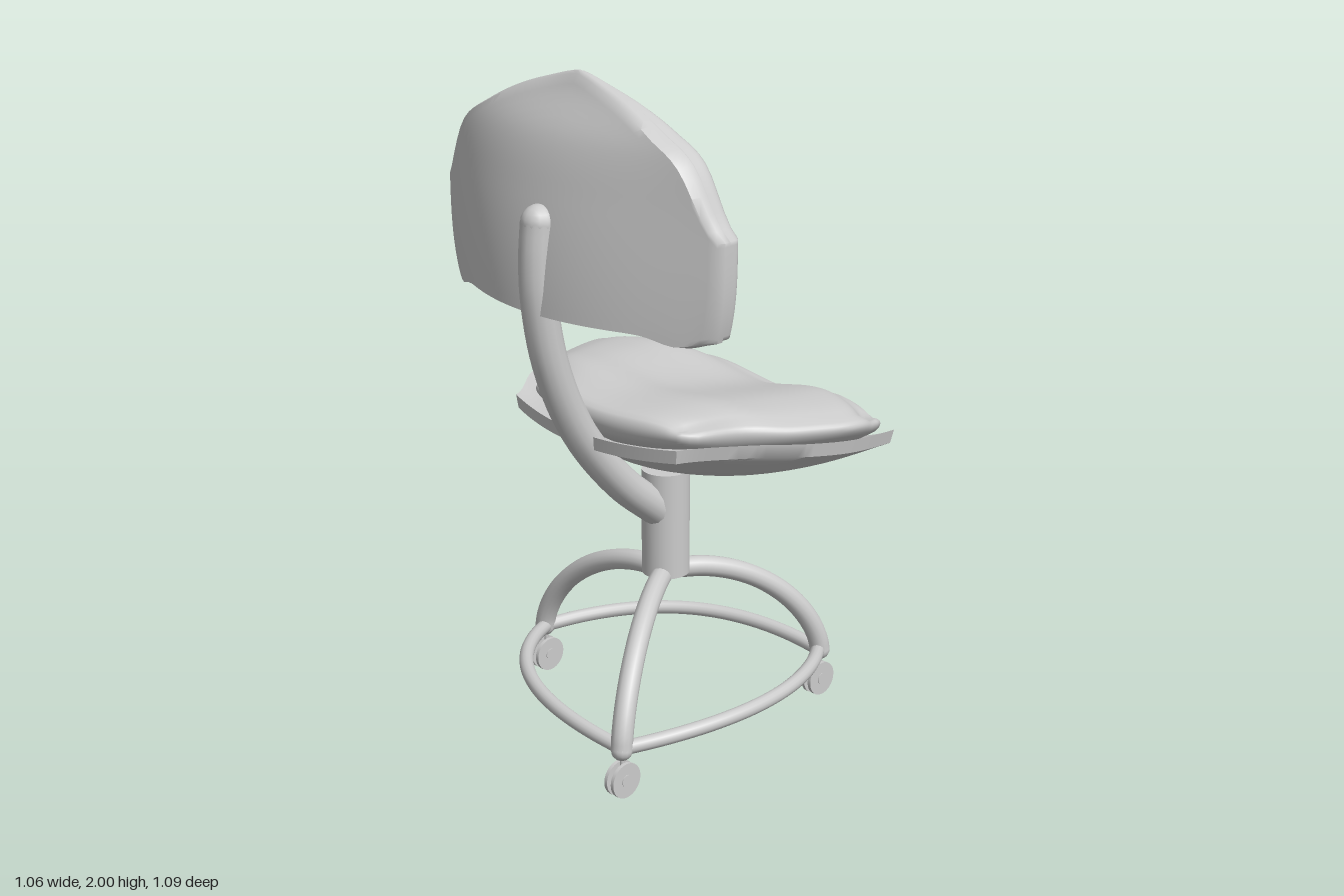
import * as THREE from 'three';
import { mergeVertices, toCreasedNormals } from 'three/addons/utils/BufferGeometryUtils.js';

const material = new THREE.MeshStandardMaterial({ color: 0xcccccc });
const V = (x, y, z) => new THREE.Vector3(x, y, z);
const { lerp, clamp, smoothstep } = THREE.MathUtils;

// Smooth value through evenly spaced samples, for t from 0 to 1
function profile(...values) {
  const curve = new THREE.SplineCurve(values.map((y, i) => new THREE.Vector2(i, y)));
  return t => curve.getPoint(clamp(t, 0, 1)).y;
}

function add(parent, name, geometry) {
  const mesh = new THREE.Mesh(geometry, material);
  mesh.name = name;
  parent.add(mesh);
  return mesh;
}

// Subdivided box whose vertices (each coordinate -1..1) are moved by a rule
function mould(segments, rule, creased) {
  let geo = new THREE.BoxGeometry(2, 2, 2, ...segments);
  geo.deleteAttribute('uv');
  geo.deleteAttribute('normal');
  const p = geo.attributes.position;
  for (let i = 0; i < p.count; i++) p.setXYZ(i, ...rule(p.getX(i), p.getY(i), p.getZ(i)));
  geo = mergeVertices(geo, 1e-5);
  geo.computeVertexNormals();
  return creased ? toCreasedNormals(geo, 0.8) : geo;
}

// Round bar along points, with rounded ends
function bar(parent, name, points, radius) {
  const group = new THREE.Group();
  group.name = name;
  add(group, name + 'Tube', new THREE.TubeGeometry(new THREE.CatmullRomCurve3(points), 32, radius, 14));
  for (const end of [points[0], points.at(-1)]) {
    add(group, name + 'End', new THREE.SphereGeometry(radius, 14, 10)).position.copy(end);
  }
  parent.add(group);
}

// How far the edge draws in at the top and bottom of a padded part
const roundOff = c => 1 - Math.sqrt(Math.max(0, 1 - c * c));

// Seat shell: a sheet curved up at the sides
const shellHalfWidth = profile(0.33, 0.445, 0.51, 0.54, 0.543);
const shellMiddle = profile(0.94, 0.835, 0.773, 0.752, 0.765);
const shellSide = profile(0.96, 0.965, 0.945, 0.925, 0.915);
const shellBottom = (u, v) => lerp(shellMiddle(u), shellSide(u), v * v);

function seatShell(a, c, v) {
  const u = (a + 1) / 2;
  const x = lerp(-0.33 + 0.05 * v * v, 0.5 - 0.13 * v * v, u);
  const k = 1 - 0.015 * Math.max(0, -c);
  return [x * k, shellBottom(u, v) + 0.02 * (c + 1), v * shellHalfWidth(u) * k];
}

// Height of the shell's upper face at a place on the seat
function shellTop(x, z) {
  const v = z / shellHalfWidth((x + 0.3) / 0.77);
  const u = (x + 0.33 - 0.05 * v * v) / (0.83 - 0.18 * v * v);
  return shellBottom(clamp(u, 0, 1), clamp(v, -1, 1)) + 0.04;
}

// Seat cushion: dished middle, raised sides, soft front edge
const padHalfWidth = profile(0.3, 0.425, 0.5, 0.535, 0.46);
const padMiddle = profile(1.045, 1.06, 1.03, 1.005, 0.98, 0.92);
const padSide = profile(1.05, 1.075, 1.06, 1.05, 1.035, 0.97);

function seatCushion(a, c, v) {
  const u = (a + 1) / 2;
  const k = 1 - 0.07 * roundOff(c);
  const x = 0.12 + (lerp(-0.28 + 0.05 * v * v, 0.527 - 0.12 * v * v, u) - 0.12) * k;
  const z = v * padHalfWidth(u) * k;
  const rise = smoothstep(Math.abs(v), 0, 0.7);
  const top = lerp(padMiddle(u), padSide(u), rise) - 0.025 * v ** 8;
  const bottom = shellTop(x, z) + 0.006;
  return [x, lerp(bottom, Math.max(top, bottom + 0.05), (c + 1) / 2), z];
}

// Backrest: crescent in plan, arched on top; thickness runs from 0 (back) to 1 (front)
const backMiddle = profile(-0.505, -0.49, -0.46, -0.415, -0.33);
const frontMiddle = profile(-0.37, -0.355, -0.305, -0.27, -0.295);
const archTop = profile(2, 1.972, 1.935, 1.882, 1.81, 1.63);

function backrestPoint(thickness, u, v, scale) {
  const low = 1.36 - 0.025 * Math.exp(-(((Math.abs(v) - 0.85) / 0.12) ** 2));
  const y = lerp(low, archTop(Math.abs(v)), u);
  const h = (y - 1.36) / 0.64;
  const back = lerp(backMiddle(h), -0.335, v * v);
  const front = lerp(frontMiddle(h), -0.25, Math.abs(v) ** 1.5);
  const z = v * 0.545 * (1 - 0.05 * (1 - u) ** 3);
  return [lerp(back, front, thickness), 1.6 + (y - 1.6) * scale, z * scale];
}

const backrestShell = (c, b, v) =>
  backrestPoint(0.22 * (c + 1), (b + 1) / 2, v, 1 - 0.02 * Math.max(0, -c));
const backrestCushion = (c, b, v) =>
  backrestPoint(0.44 + 0.28 * (c + 1), (b + 1) / 2, v, 0.99 - 0.045 * roundOff(Math.max(0, c)));

// Twin-wheel caster rolling along x
function caster(foot) {
  const group = new THREE.Group();
  group.name = 'caster';
  for (const side of [-1, 1]) {
    const wheel = add(group, 'wheel', new THREE.CylinderGeometry(0.052, 0.052, 0.011, 28));
    const hub = add(group, 'hub', new THREE.CylinderGeometry(0.018, 0.018, 0.016, 16));
    for (const part of [wheel, hub]) {
      part.rotation.x = Math.PI / 2;
      part.position.z = side * 0.013;
    }
  }
  add(group, 'stem', new THREE.CylinderGeometry(0.007, 0.007, 0.08, 10)).position.y = 0.04;
  group.position.set(foot.x, 0.053, foot.z);
  return group;
}

export function createModel() {
  const chair = new THREE.Group();
  chair.name = 'swivelChair';

  add(chair, 'seatShell', mould([28, 1, 32], seatShell, true));
  add(chair, 'seatCushion', mould([32, 10, 36], seatCushion));
  add(chair, 'backrestShell', mould([2, 24, 48], backrestShell, true));
  add(chair, 'backrestCushion', mould([8, 24, 48], backrestCushion));

  // Curved bar carrying the backrest
  bar(chair, 'backrestBar', [
    V(-0.03, 0.67, 0), V(-0.18, 0.795, 0), V(-0.34, 0.99, 0), V(-0.435, 1.2, 0),
    V(-0.475, 1.4, 0), V(-0.478, 1.52, 0), V(-0.47, 1.61, 0)
  ], 0.051);

  add(chair, 'column', new THREE.CylinderGeometry(0.07, 0.07, 0.32, 32)).position.y = 0.63;

  // Three arched legs with casters, joined by bowed rails
  const feet = [V(-0.44, 0.145, 0.28), V(0.44, 0.145, 0.21), V(-0.035, 0.145, -0.495)];
  feet.forEach((foot, i) => {
    const arch = [];
    for (let k = 0; k <= 10; k++) {
      const t = (k / 10) * Math.PI / 2;
      const reach = lerp(0.08, 1.01, Math.sin(t));
      arch.push(V(foot.x * reach, 0.145 + 0.33 * Math.max(0, Math.cos(t)) ** 1.25, foot.z * reach));
    }
    bar(chair, 'leg', arch, 0.031);
    chair.add(caster(foot));

    const next = feet[(i + 1) % 3];
    const out = V(foot.z - next.z, 0, next.x - foot.x).normalize();
    const rail = [];
    for (let k = 0; k <= 10; k++) {
      const t = k / 10, bow = 4 * t * (1 - t);
      const p = foot.clone().lerp(next, t).addScaledVector(out, 0.15 * bow);
      rail.push(p.setY(0.147 + 0.03 * bow));
    }
    bar(chair, 'rail', rail, 0.021);
  });

  return chair;
}
